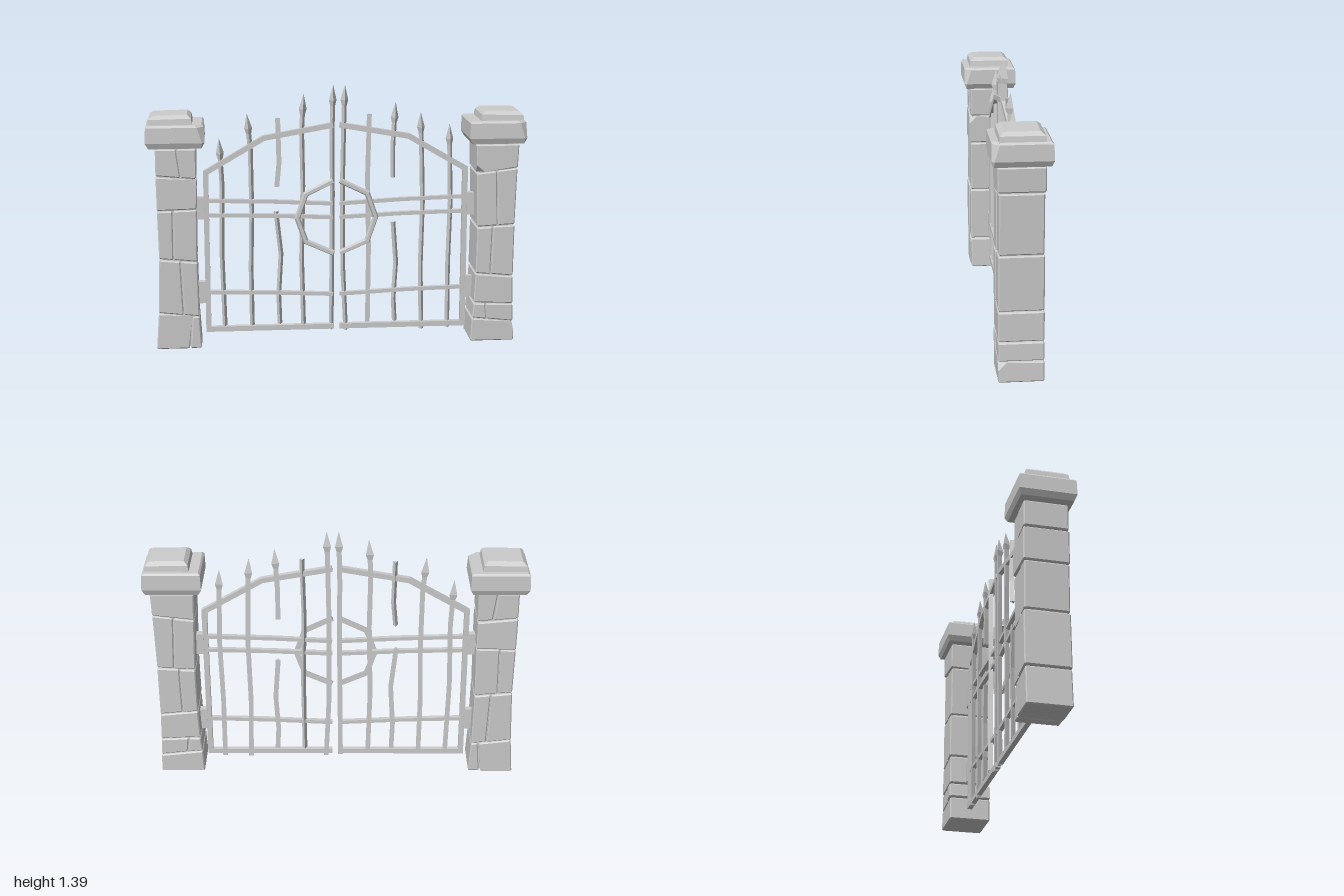
import * as THREE from 'three';
import { ConvexGeometry } from 'three/addons/geometries/ConvexGeometry.js';

const stone = new THREE.MeshStandardMaterial({ color: 0xcccccc, flatShading: true });
const iron = new THREE.MeshStandardMaterial({ color: 0xcccccc, flatShading: true });

function add(parent, name, geometry, material) {
  const mesh = new THREE.Mesh(geometry, material);
  mesh.name = name;
  parent.add(mesh);
  return mesh;
}

// Sweeps a section of [across, z] corners along a mitred path of [x, y, scale?]
function sweep(path, section) {
  const pts = path.map(p => new THREE.Vector2(p[0], p[1]));
  const rings = pts.map((p, i) => {
    const before = p.clone().sub(pts[Math.max(i - 1, 0)]).normalize();
    const after = pts[Math.min(i + 1, pts.length - 1)].clone().sub(p).normalize();
    const t = before.clone().add(after).normalize();
    const mitre = 1 / Math.max(t.dot(i ? before : after), 0.5);
    const k = path[i][2] ?? 1;
    const zMid = section.reduce((sum, c) => sum + c[1], 0) / section.length;
    return section.map(([u, z]) => [p.x + t.y * u * mitre * k, p.y - t.x * u * mitre * k, zMid + (z - zMid) * k]);
  });
  const n = section.length, last = rings.length - 1, out = [];
  for (let i = 0; i < last; i++) {
    for (let k = 0; k < n; k++) {
      const a = rings[i][k], b = rings[i][(k + 1) % n];
      const c = rings[i + 1][(k + 1) % n], d = rings[i + 1][k];
      out.push(...a, ...d, ...c, ...a, ...c, ...b);
    }
  }
  for (let k = 1; k < n - 1; k++) {
    out.push(...rings[0][0], ...rings[0][k], ...rings[0][k + 1]);
    out.push(...rings[last][0], ...rings[last][k + 1], ...rings[last][k]);
  }
  const g = new THREE.BufferGeometry();
  g.setAttribute('position', new THREE.Float32BufferAttribute(out, 3));
  g.computeVertexNormals();
  return g;
}

const rect = (half, z0, z1) => [[-half, z0], [half, z0], [half, z1], [-half, z1]];
const FRAME = rect(0.014, -0.02, 0.007);
const RAIL = rect(0.01, -0.016, 0.007);
const BAR = [[-0.013, -0.02], [0.013, -0.02], [0, 0.004]];
const BAR_TURNED = [[-0.013, -0.002], [0, -0.026], [0.013, -0.002]];
const RING = [[-0.015, 0.006], [0.015, 0.006], [0.008, 0.027], [-0.008, 0.027]];

// Stone with bevelled edges: four [x, y] corners, half depth, optional chipped corner
function block(quad, depth, bevel = 0.006, chip = -1, chipSize = 0.04) {
  const pts = [];
  quad.forEach((q, i) => [1, -1].forEach(side => {
    const p = new THREE.Vector3(q[0], q[1], side * depth);
    const toward = j => new THREE.Vector3(quad[j][0], quad[j][1], side * depth).sub(p).normalize();
    const dirs = [toward((i + 1) % 4), toward((i + 3) % 4), new THREE.Vector3(0, 0, -side)];
    const chipped = i === chip && side > 0;
    for (let a = 0; a < 3; a++) {
      const v = p.clone();
      if (chipped) v.addScaledVector(dirs[a], chipSize);
      else dirs.forEach((d, b) => { if (b !== a) v.addScaledVector(d, bevel); });
      pts.push(v);
    }
  }));
  return new ConvexGeometry(pts);
}

// Four-sided tapering solid from levels of [y, halfX, halfZ], one upper front corner knocked off
function capStone(levels, chip) {
  const pts = [];
  levels.forEach(([y, hx, hz], i) => [-1, 1].forEach(sx => [-1, 1].forEach(sz => {
    const cut = chip && i > 0 && sx > 0 && sz > 0 ? chip * (i === 1 ? 0.4 : 1) : 0;
    if (!cut) pts.push(new THREE.Vector3(sx * hx, y, sz * hz));
    else pts.push(new THREE.Vector3(hx - cut, y, hz), new THREE.Vector3(hx, y, hz - cut));
  })));
  return new ConvexGeometry(pts);
}

// Joints are [yLeft, yRight, xLeft, xRight]; splits give the vertical joint [bottom, top] of each course
function pillar(name, x, joints, splits, chips) {
  const g = new THREE.Group();
  g.name = name;
  const core = add(g, 'mortarCore', new THREE.BoxGeometry(0.175, 1.08, 0.2), stone);
  core.position.set(x, 0.55, 0);
  const gap = 0.003;
  for (let i = 0; i < joints.length - 1; i++) {
    const lo = joints[i], hi = joints[i + 1];
    const at = (j, t, dy) => [j[2] + (j[3] - j[2]) * t, j[0] + (j[1] - j[0]) * t + dy];
    const y0 = i ? gap : 0;
    const stoneBetween = (b0, b1, t1, t0, depth, chip) => add(g, 'stoneBlock', block(
      [at(lo, b0, y0), at(lo, b1, y0), at(hi, t1, -gap), at(hi, t0, -gap)], depth, 0.006, chip), stone);
    const depth = 0.113 + (i % 2) * 0.003;
    const s = splits[i];
    if (s) {
      stoneBetween(0, s[0] - 0.012, s[1] - 0.012, 0, depth, chips[i] ?? -1);
      stoneBetween(s[0] + 0.012, 1, 1, s[1] + 0.012, depth - 0.004, -1);
    } else stoneBetween(0, 1, 1, 0, depth, chips[i] ?? -1);
  }
  const slab = add(g, 'capSlab', capStone(
    [[1.09, 0.137, 0.135], [1.12, 0.153, 0.147], [1.2, 0.15, 0.144], [1.21, 0.14, 0.134]], 0.035), stone);
  const top = add(g, 'capTop', capStone(
    [[1.2, 0.116, 0.113], [1.24, 0.11, 0.108], [1.258, 0.09, 0.085]], 0), stone);
  slab.position.x = x;
  top.position.x = x;
  top.rotation.z = x > 0 ? -0.02 : 0.02;
  return g;
}

// Upright bar; the last point is the tip when it carries a spike
function bar(parent, path, spiked, section = BAR) {
  const pts = path.map(p => [...p]);
  if (spiked) {
    const [x, y] = pts[pts.length - 1];
    const below = pts[pts.length - 2];
    const back = d => [x + (below[0] - x) * d / (y - below[1]), y - d];
    pts[pts.length - 1] = back(0.11);
    add(parent, 'spike', sweep([[...back(0.115), 0.9], [...back(0.08), 1.6], [x, y, 0.03]], section), iron);
  }
  add(parent, 'bar', sweep(pts, section), iron);
}

// One gate leaf: frame, sagging rails, half ring and hinges; s is -1 or 1
function leaf(name, s, bars) {
  const g = new THREE.Group();
  g.name = name;
  const m = path => path.map(([x, y]) => [x * s, y]);
  add(g, 'frame', sweep(m([[0.018, 1.18], [0.385, 1.115], [0.693, 0.935], [0.693, 0.07], [0.018, 0.07]]), FRAME), iron);
  for (const [inner, outer] of [[0.755, 0.782], [0.68, 0.702], [0.252, 0.277]])
    add(g, 'rail', sweep(m([[0.018, inner], [0.36, (inner + outer) / 2 + 0.004], [0.69, outer]]), RAIL), iron);
  add(g, 'halfRing', sweep(m([[0.018, 0.882], [0.165, 0.81], [0.21, 0.68], [0.165, 0.55], [0.018, 0.485]]), RING), iron);
  for (const y of [0.743, 0.28]) {
    const hinge = add(g, 'hinge', new THREE.BoxGeometry(0.045, 0.12, 0.035), iron);
    hinge.position.set(s * 0.724, y, -0.006);
  }
  bars.forEach(([path, spiked, section]) => bar(g, path, spiked, section));
  return g;
}

export function createModel() {
  const model = new THREE.Group();
  model.name = 'gate';

  model.add(pillar('rightPillar', -0.847, [
    [0, 0, -0.97, -0.73], [0.2, 0.175, -0.955, -0.74], [0.495, 0.475, -0.945, -0.745],
    [0.755, 0.76, -0.95, -0.742], [0.94, 0.92, -0.952, -0.742], [1.085, 1.085, -0.952, -0.74],
  ], [[0.74, 0.82], [0.62, 0.56], [0.38, 0.4], null, [0.62, 0.52]], { 0: 2, 3: 2 }));

  model.add(pillar('leftPillar', 0.843, [
    [0, 0, 0.72, 0.957], [0.13, 0.105, 0.727, 0.952], [0.215, 0.205, 0.735, 0.948], [0.38, 0.36, 0.742, 0.945],
    [0.635, 0.645, 0.745, 0.947], [0.93, 0.955, 0.737, 0.955], [1.085, 1.085, 0.733, 0.96],
  ], [null, [0.36, 0.3], null, [0.4, 0.42], [0.55, 0.5], null], { 0: 2, 5: 0 }));

  // Bars run from the bottom up; broken ones come in two pieces
  model.add(leaf('rightLeaf', -1, [
    [[[-0.605, 0.085], [-0.615, 0.5], [-0.607, 0.85], [-0.62, 1.115]], true],
    [[[-0.457, 0.07], [-0.46, 0.4], [-0.452, 0.72], [-0.455, 1.05], [-0.472, 1.245]], true],
    [[[-0.307, 0.09], [-0.312, 0.25], [-0.298, 0.48], [-0.323, 0.715]], false],
    [[[-0.318, 0.85], [-0.305, 0.98], [-0.31, 1.22]], false, BAR_TURNED],
    [[[-0.178, 0.08], [-0.187, 0.45], [-0.178, 0.85], [-0.183, 1.15], [-0.172, 1.345]], true],
    [[[-0.027, 0.05], [-0.024, 0.35], [-0.02, 0.8], [-0.022, 1.1], [-0.016, 1.39]], true],
  ]));
  model.add(leaf('leftLeaf', 1, [
    [[[0.052, 0.045], [0.036, 0.4], [0.034, 0.85], [0.04, 1.15], [0.046, 1.39]], true],
    [[[0.17, 0.09], [0.174, 0.5], [0.167, 0.9], [0.175, 1.235]], false, BAR_TURNED],
    [[[0.32, 0.09], [0.313, 0.22], [0.325, 0.42], [0.308, 0.645]], false],
    [[[0.305, 0.89], [0.303, 1.05], [0.316, 1.295]], true],
    [[[0.468, 0.04], [0.46, 0.4], [0.467, 0.75], [0.458, 1.05], [0.45, 1.24]], true],
    [[[0.612, 0.045], [0.61, 0.4], [0.618, 0.75], [0.606, 1.175]], true],
  ]));
  return model;
}
